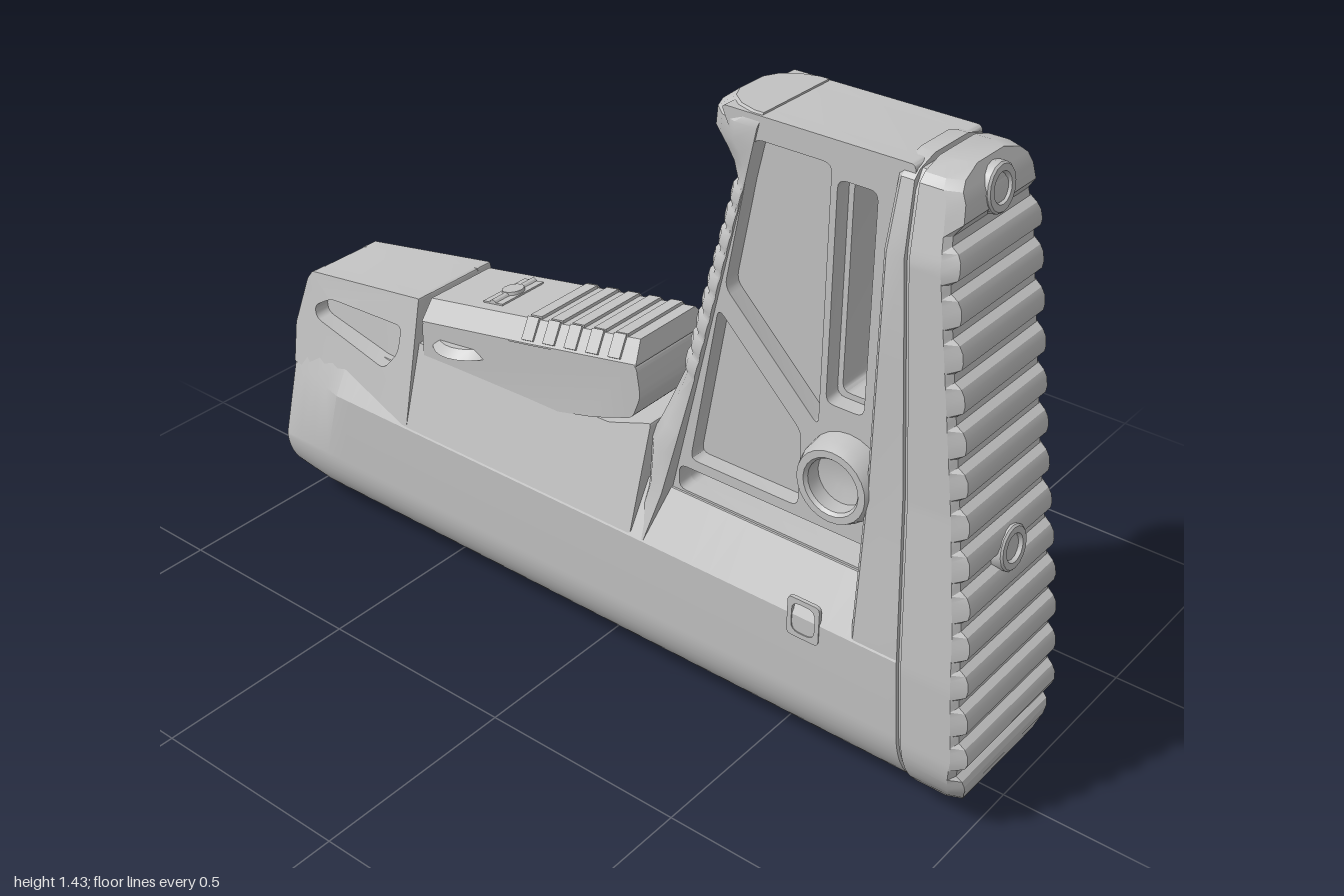
import * as THREE from 'three';
import { toCreasedNormals } from 'three/addons/utils/BufferGeometryUtils.js';

const grey = new THREE.MeshStandardMaterial({ color: 0xc2c2c2, side: THREE.DoubleSide });
grey.name = 'grey polymer';

// piecewise linear lookup in [[key, value], ...] with rising keys
function lerpTable(t, k) {
  for (let i = 1; i < t.length; i++) if (k <= t[i][0]) {
    const f = (k - t[i - 1][0]) / (t[i][0] - t[i - 1][0]);
    return t[i - 1][1] + Math.max(0, f) * (t[i][1] - t[i - 1][1]);
  }
  return t[t.length - 1][1];
}

// closed outline with rounded corners
function rounded(pts, r = 0.012, C = THREE.Shape) {
  const s = new C(), n = pts.length, v = pts.map(p => new THREE.Vector2(...p));
  for (let i = 0; i < n; i++) {
    const p = v[i], a = v[(i + n - 1) % n], b = v[(i + 1) % n];
    const toward = q => p.clone().lerp(q, Math.min(0.45, r / p.distanceTo(q)));
    const s0 = toward(a), s1 = toward(b);
    i ? s.lineTo(s0.x, s0.y) : s.moveTo(s0.x, s0.y);
    s.quadraticCurveTo(p.x, p.y, s1.x, s1.y);
  }
  s.closePath();
  return s;
}
const rect = (z0, z1, y0, y1) => [[z0, y0], [z1, y0], [z1, y1], [z0, y1]];

// side profile (z, y) with holes, filling x0..x1
function plate(outline, holes, x0, x1, r) {
  const s = rounded(outline, r);
  holes.forEach(h => s.holes.push(rounded(h, 0.02, THREE.Path)));
  const g = new THREE.ExtrudeGeometry(s, { depth: x1 - x0, bevelEnabled: false, curveSegments: 4 });
  return g.rotateY(-Math.PI / 2).translate(x1, 0, 0);
}

// skin over equal-length rings stacked upward, capped at both ends
function loft(rings) {
  const n = rings[0].length, idx = [], last = (rings.length - 1) * n;
  for (let j = 0; j < rings.length - 1; j++) for (let i = 0; i < n; i++) {
    const a = j * n + i, b = j * n + (i + 1) % n;
    idx.push(a, b, b + n, a, b + n, a + n);
  }
  for (let i = 1; i < n - 1; i++) idx.push(0, i + 1, i, last, last + i, last + i + 1);
  const g = new THREE.BufferGeometry();
  g.setAttribute('position', new THREE.Float32BufferAttribute(rings.flat(2), 3));
  g.setIndex(idx);
  return g;
}

function moveVertices(g, rule) {
  const p = g.attributes.position, v = new THREE.Vector3();
  for (let i = 0; i < p.count; i++) {
    rule(v.fromBufferAttribute(p, i));
    p.setXYZ(i, v.x, v.y, v.z);
  }
  return g;
}

// butt outline: half-width and slanted seam, by height
const R = 0.188, CY = 0.195;
const sides = [[0.19, 0.19], [0.37, 0.19], [0.75, 0.166], [1.26, 0.162], [1.4, 0.128], [1.415, 0.11], [1.43, 0.06]];
const halfWidth = y => y < 0.19 ? Math.sqrt(Math.max(0.0004, 0.0361 - (0.19 - y) ** 2)) : lerpTable(sides, y);
const seam = y => 0.865 - 0.077 * y;
const padFace = y => lerpTable([[0, 0.89], [0.03, 0.955], [0.1, 0.99], [0.2, 1.0], [0.5, 0.972], [1.38, 0.85], [1.43, 0.825]], y);

export function createModel() {
  const model = new THREE.Group();
  const add = (name, g, crease = 0.5) => {
    const m = new THREE.Mesh(toCreasedNormals(g, crease), grey);
    m.name = name;
    model.add(m);
  };

  // tubular body with keyhole bore
  const body = new THREE.Shape();
  body.moveTo(R, 0.38); body.lineTo(0.12, 0.5); body.lineTo(-0.12, 0.5); body.lineTo(-R, 0.38);
  body.absarc(0, CY, R, Math.PI, 2 * Math.PI, false);
  const bore = new THREE.Path();
  bore.absarc(0, CY, 0.157, 2.1, 2 * Math.PI + 1.04, false);
  bore.lineTo(0.07, 0.42); bore.lineTo(-0.07, 0.42);
  body.holes.push(bore);
  const tube = new THREE.ExtrudeGeometry(body, { depth: 1.85, steps: 37, bevelEnabled: false, curveSegments: 24 });
  add('tubeBody', moveVertices(tube.translate(0, 0, -1), v => {
    const t = Math.max(0, (-0.8 - v.z) / 0.2);
    if (v.y > 0.37 && v.y < 0.41) v.x *= 1 - 0.26 * t;
    const outer = Math.hypot(v.x, v.y - CY) > 0.17;
    if (outer && v.y < CY && v.z < -0.91) v.y = CY + (v.y - CY) * (1 - 0.12 * (-0.91 - v.z) / 0.09);
    v.z = Math.min(v.z, seam(v.y) - 0.012);
  }));
  add('drainHole', new THREE.TorusGeometry(0.027, 0.004, 6, 20).rotateX(Math.PI / 2).translate(0, 0.006, -0.36));

  // ribbed butt pad: the dents cut the face only, the flanks stay smooth
  const padRings = [], padRing = (y, dent) => {
    const w = halfWidth(y), f = padFace(y), b = seam(y), c = Math.min(0.014, w * 0.4);
    const z = f - dent, e = Math.max(b + 0.01, f - 0.032);
    padRings.push([[-w, y, b], [-w, y, e], [-w + c, y, z], [w - c, y, z], [w, y, e], [w, y, b]]);
  };
  [0, 0.006, 0.015, 0.03, 0.05, 0.08].forEach(y => padRing(y, 0));
  for (let y = 0.1; y < 1.33; y += 0.088)
    [[0, 0.004], [0.014, 0], [0.034, 0], [0.048, 0.006], [0.058, 0.02], [0.076, 0.02]].forEach(([d, e]) => padRing(y + d, e));
  [1.345, 1.38, 1.4, 1.415, 1.43].forEach(y => padRing(y, 0));
  add('buttPad', loft(padRings), 0.4);
  const levels = (y0, y1, n) => Array.from({ length: n + 1 }, (_, i) => y0 + (y1 - y0) * i / n);
  add('padSeam', loft(levels(0.015, 1.415, 40).map(y => {
    const w = halfWidth(y) - 0.012, b = seam(y);
    return [[-w, y, b - 0.03], [-w, y, b + 0.01], [w, y, b + 0.01], [w, y, b - 0.03]];
  })));

  // pad screws
  for (const y of [0.62, 1.372]) {
    const pts = [[0.052, -0.03], [0.05, 0.002], [0.046, 0.006], [0.032, 0.006], [0.028, -0.002], [0, -0.002]];
    const g = new THREE.LatheGeometry(pts.map(p => new THREE.Vector2(...p)), 16);
    add('padScrew', g.rotateX(Math.PI / 2 - 0.12).translate(0, y, padFace(y)));
  }

  // column against the pad
  add('frontColumn', loft([0.36, 0.4, 0.56, 0.75, 1, 1.26, 1.35, 1.4, 1.415, 1.43].map(y => {
    const w = halfWidth(y) - 0.003, b = seam(y) - 0.012;
    return [[-w + 0.01, y, 0.707], [-w, y, 0.717], [-w, y, b], [w, y, b], [w, y, 0.717], [w - 0.01, y, 0.707]];
  })));

  // slotted web with recessed side panels
  const webOutline = [[0.16, 0.46], [0.78, 0.46], [0.74, 1.425], [0.3, 1.425], [0.36, 1.3], [0.25, 0.8]];
  const lowSlot = rect(0.21, 0.7, 0.505, 0.565);
  add('webCore', plate(webOutline, [rect(0.587, 0.653, 0.875, 1.335), lowSlot], -0.075, 0.075));
  const panels = [
    rect(0.575, 0.665, 0.862, 1.348), lowSlot,
    [[0.56, 1.375], [0.38, 1.375], [0.32, 1.035], [0.56, 0.8]],
    [[0.52, 0.77], [0.305, 0.98], [0.24, 0.59], [0.52, 0.59]]];
  for (const [a, b] of [[0.075, 0.115], [-0.115, -0.075]]) add('webFrame', plate(webOutline, panels, a, b));

  // ribbed grip
  const gripBack = [[0.38, 0.09], [0.5, 0.1], [0.6, 0.1], [0.66, 0.13], [0.81, 0.2], [1.27, 0.315],
    [1.31, 0.28], [1.36, 0.243], [1.4, 0.247], [1.43, 0.285]];
  const gripWidth = [[0.38, 0.187], [0.5, 0.155], [0.65, 0.142], [0.8, 0.13], [1.27, 0.117], [1.4, 0.12], [1.43, 0.108]];
  const gripRings = [], gripRing = (y, out) => {
    const w = lerpTable(gripWidth, y) + out * 0.2, k = lerpTable(gripBack, y) - out;
    const f = 0.17 + 0.219 * (y - 0.42), d = Math.min(0.09, f - k);
    const half = [[0.35, 0.03], [0.65, 0.2], [0.88, 0.55], [1, 1]];
    gripRings.push([...half.map(([a, b]) => [-a * w, y, k + b * d]), [-w, y, f + 0.005], [w, y, f + 0.005],
      ...half.reverse().map(([a, b]) => [a * w, y, k + b * d])]);
  };
  [0.38, 0.44, 0.5, 0.6, 0.66, 0.74].forEach(y => gripRing(y, 0));
  for (let i = 0; i < 9; i++)
    [[0, 0], [0.012, 0.014], [0.034, 0.014], [0.044, 0]].forEach(([d, e]) => gripRing(0.8 + i * 0.052 + d, e));
  [1.275, 1.31, 1.335, 1.36, 1.4, 1.42, 1.43].forEach(y => gripRing(y, 0));
  add('grip', loft(gripRings), 0.6);

  // side sockets and small strap slots
  for (const s of [1, -1]) {
    const ring = [[0.098, 0.1], [0.092, 0.15], [0.082, 0.174], [0.066, 0.174], [0.06, 0.166], [0.06, 0.13], [0.03, 0.124], [0, 0.122]];
    const g = new THREE.LatheGeometry(ring.map(p => new THREE.Vector2(...p)), 24);
    add('sideSocket', g.rotateZ(-s * Math.PI / 2).translate(0, 0.715, 0.635));
    const x = s * 0.186;
    add('strapSlotRim', plate(rect(0.557, 0.637, 0.328, 0.425), [rect(0.568, 0.626, 0.34, 0.413)], x - 0.0045, x + 0.0045));
  }

  // sloping shoulders below the lever
  const shoulder = [[0.13, 0.385], [0.13, 0.635], [0.02, 0.6], [-0.565, 0.59], [-0.565, 0.385]];
  add('leverBed', moveVertices(plate(shoulder, [], -0.187, -0.08, 0.008), v => {
    if (v.x < -0.1) v.x += 0.29 * (v.y - 0.385);
  }));
  add('leverBed', moveVertices(plate(shoulder, [], 0.08, 0.187, 0.008), v => {
    if (v.x > 0.1) v.x -= 0.29 * (v.y - 0.385);
  }));
  add('leverBedCore', plate([[0.13, 0.45], [0.13, 0.635], [0.02, 0.6], [-0.565, 0.59], [-0.565, 0.45]], [], -0.1, 0.1, 0.008));

  // rear housing with recessed side windows
  const housing = base => [[-0.56, base], [-0.56, 0.705], [-0.945, 0.643], [-0.962, 0.62], [-1, 0.49], [-1, base]];
  const taper = v => { v.x *= (1 - 0.55 * Math.max(0, -0.56 - v.z)) * (1 - 1.1 * (v.y - 0.385)); };
  const windowHole = [[-0.61, 0.62], [-0.87, 0.597], [-0.93, 0.56], [-0.92, 0.53], [-0.66, 0.495], [-0.615, 0.55]];
  add('housingCore', moveVertices(plate(housing(0.425), [], -0.125, 0.125), taper));
  for (const [a, b] of [[0.12, 0.187], [-0.187, -0.12]])
    add('housingSide', moveVertices(plate(housing(0.385), [windowHole], a, b, 0.006), taper));

  // release lever with a chamfered crown
  const onTop = z => 0.82 + 0.183 * (z - 0.09);
  const lever = [[0.1, 0.775], [-0.54, 0.658], [-0.54, 0.53], [-0.3, 0.53], [-0.02, 0.6], [0.09, 0.64], [0.112, 0.7]];
  const narrow = z => 1 - 0.13 * Math.max(0, z + 0.2);
  add('lever', moveVertices(plate(lever, [], -0.134, 0.134, 0.015), v => { v.x *= narrow(v.z); }));
  const crown = (w, drop, inset) => [[-1, 0.1 - inset], [1, 0.1 - inset], [1, -0.2], [1, -0.54], [-1, -0.54], [-1, -0.2]]
    .map(([s, z]) => [s * w * narrow(z), onTop(z) - drop, z]);
  add('leverCrown', loft([crown(0.134, 0.05, 0), crown(0.134, 0.046, 0), crown(0.098, 0, 0.015)]), 0.3);

  // lever ribs, latch pin and thumb ledge
  for (let i = 0; i < 5; i++) {
    const z = 0.035 - i * 0.062;
    add('leverRib', new THREE.BoxGeometry(0.19, 0.014, 0.034).rotateX(-0.18).translate(0, onTop(z), z));
    for (const s of [1, -1])
      add('leverRibSide', new THREE.BoxGeometry(0.055, 0.012, 0.034).rotateZ(-s * 0.92).rotateX(-0.18)
        .translate(s * 0.112 * narrow(z), onTop(z) - 0.02, z));
  }
  add('pinSeat', new THREE.BoxGeometry(0.14, 0.008, 0.06).rotateX(-0.18).translate(0, onTop(-0.37), -0.37));
  add('crossPin', new THREE.CylinderGeometry(0.01, 0.01, 0.14, 12).rotateZ(Math.PI / 2).translate(0, onTop(-0.37) + 0.001, -0.37));
  add('pinHead', new THREE.CylinderGeometry(0.026, 0.028, 0.02, 16).rotateX(-0.18).translate(0, onTop(-0.37) + 0.002, -0.37));
  add('thumbLedge', new THREE.CylinderGeometry(0.15, 0.168, 0.02, 32).scale(1, 1, 0.8).rotateX(-0.12).translate(0, 0.625, -0.43));

  return model;
}
